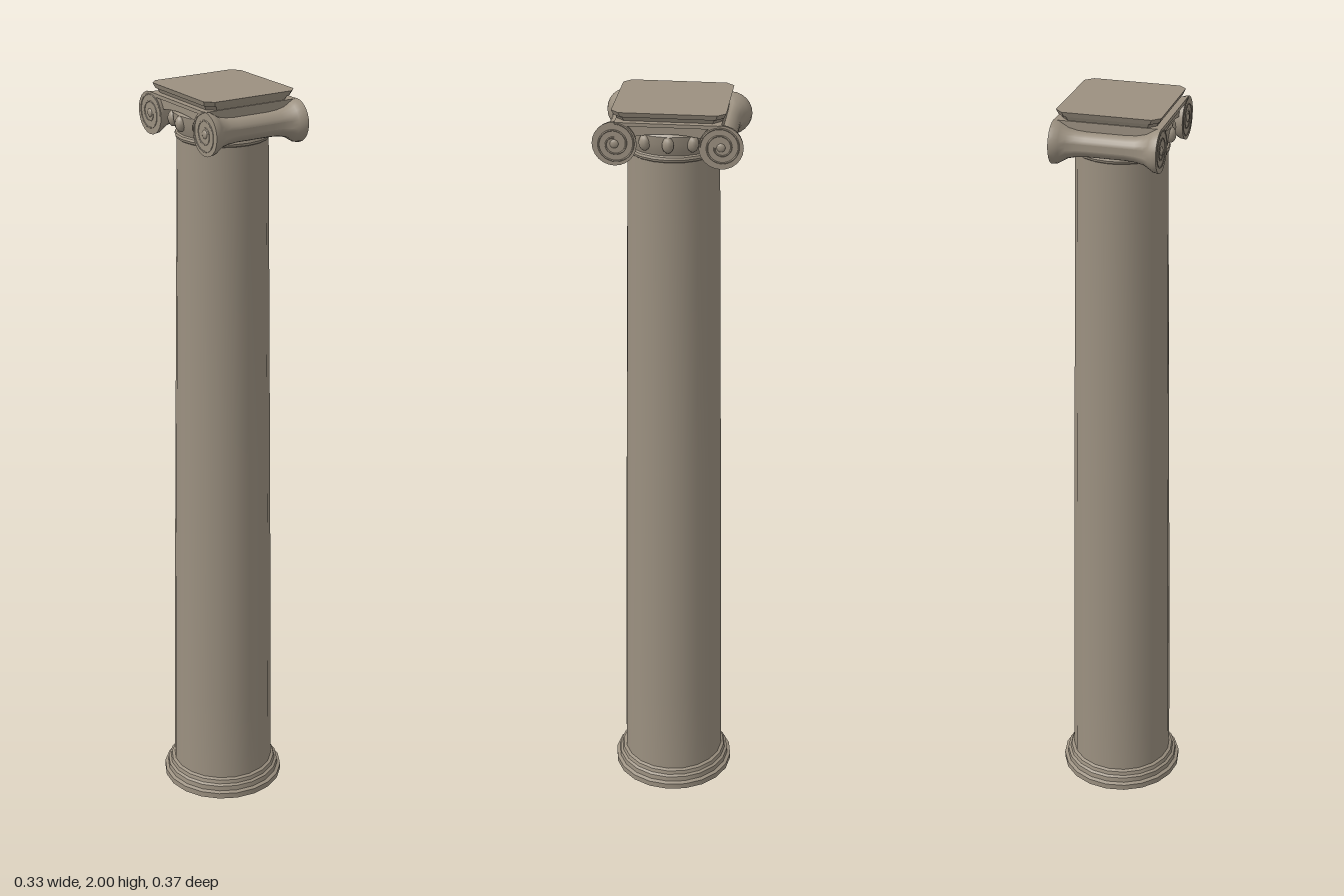
import * as THREE from 'three';
import { toCreasedNormals } from 'three/addons/utils/BufferGeometryUtils.js';

export function createModel() {
  const group = new THREE.Group();
  const stone = new THREE.MeshStandardMaterial({ color: 0x9b9080, side: THREE.DoubleSide });
  stone.name = 'warm grey stone';

  const add = (name, geometry) => {
    const mesh = new THREE.Mesh(geometry, stone);
    mesh.name = name;
    group.add(mesh);
    return mesh;
  };
  const lathe = (profile, sides = 20) => toCreasedNormals(
    new THREE.LatheGeometry(profile.map(([r, y]) => new THREE.Vector2(r, y)), sides), 0.6);

  // Square slab with cut corners; its lower edge is drawn in by the taper factor
  const slab = (w, d, y0, y1, cut, taper) => {
    const s = new THREE.Shape();
    s.moveTo(-w + cut, -d).lineTo(w - cut, -d).lineTo(w, -d + cut).lineTo(w, d - cut);
    s.lineTo(w - cut, d).lineTo(-w + cut, d).lineTo(-w, d - cut).lineTo(-w, -d + cut);
    s.closePath();
    const g = new THREE.ExtrudeGeometry(s, { depth: y1 - y0, bevelEnabled: false });
    g.rotateX(-Math.PI / 2).translate(0, y0, 0);
    const p = g.attributes.position;
    for (let i = 0; i < p.count; i++) {
      if (p.getY(i) < y0 + 1e-5) p.setXYZ(i, p.getX(i) * taper, p.getY(i), p.getZ(i) * taper);
    }
    g.computeVertexNormals();
    return g;
  };

  // Hollow base mouldings, open underneath
  add('base', lathe([
    [0.167, 0], [0.167, 0.016], [0.158, 0.02], [0.157, 0.034],
    [0.15, 0.038], [0.147, 0.048], [0.138, 0.052],
  ]));

  // Tapered hollow shaft
  add('shaft', lathe([[0.139, 0.045], [0.137, 0.3], [0.128, 1], [0.116, 1.88]]));

  // Neck ring and swelling cushion under the scrolls
  add('neckRing', lathe([
    [0.114, 1.87], [0.12, 1.874], [0.122, 1.88], [0.12, 1.886], [0.114, 1.89],
  ]));
  add('cushion', lathe([
    [0.114, 1.885], [0.12, 1.9], [0.126, 1.92], [0.128, 1.94], [0.115, 1.955],
  ]));

  // Carved eggs around the cushion on the two scroll faces
  for (const side of [-1, 1]) {
    for (const a of [-0.5, 0, 0.5]) {
      const egg = add('carvedEgg', new THREE.SphereGeometry(1, 10, 8));
      egg.scale.set(0.016, 0.021, 0.015);
      egg.position.set(side * Math.cos(a) * 0.123, 1.92, Math.sin(a) * 0.123);
    }
  }

  // Block joining the scrolls, arched along its lower edge
  const arch = new THREE.Shape();
  arch.moveTo(-0.13, 1.976).lineTo(-0.13, 1.925).lineTo(-0.1, 1.935);
  arch.quadraticCurveTo(0, 1.96, 0.1, 1.935);
  arch.lineTo(0.13, 1.925).lineTo(0.13, 1.976).closePath();
  const block = new THREE.ExtrudeGeometry(arch, { depth: 0.25, bevelEnabled: false, curveSegments: 8 });
  block.translate(0, 0, -0.125).rotateY(Math.PI / 2);
  add('scrollBlock', block);

  // Raised lip along the top of each scroll face
  for (const side of [-1, 1]) {
    const lip = add('scrollLip', new THREE.BoxGeometry(0.012, 0.009, 0.26));
    lip.position.set(side * 0.129, 1.9715, 0);
  }

  // Waisted bolsters ending in flared discs, with a spiral and an eye on each face
  const half = [[0.031, 0], [0.031, 0.05], [0.033, 0.075], [0.038, 0.097],
    [0.047, 0.112], [0.053, 0.122], [0.055, 0.135], [0, 0.135]];
  const bolster = [...half.slice(1).reverse().map(([r, x]) => [r, -x]), ...half];
  const spiral = [];
  for (let i = 0; i <= 40; i++) {
    const a = Math.PI / 2 + (i / 40) * Math.PI * 4;
    const r = 0.052 - 0.036 * (i / 40);
    spiral.push(new THREE.Vector3(0, Math.sin(a) * r, Math.cos(a) * r));
  }
  const spiralPath = new THREE.CatmullRomCurve3(spiral);
  for (const end of [-1, 1]) {
    const roll = add('bolster', lathe(bolster, 24).rotateZ(-Math.PI / 2));
    roll.position.set(0, 1.922, end * 0.13);
    for (const side of [-1, 1]) {
      const line = add('scrollSpiral', new THREE.TubeGeometry(spiralPath, 64, 0.0022, 5));
      line.position.set(side * 0.1345, 1.922, end * 0.13);
      if (end < 0) line.rotation.x = Math.PI / 2;
      const eye = add('scrollEye', new THREE.SphereGeometry(1, 12, 8));
      eye.scale.set(0.005, 0.011, 0.011);
      eye.position.set(side * 0.1345, 1.922, end * 0.13);
    }
  }

  // Square top plate with a tapered underside
  add('topPlateUnderside', slab(0.124, 0.133, 1.97, 1.988, 0.02, 0.93));
  add('topPlate', slab(0.132, 0.14, 1.987, 2, 0.02, 0.96));

  return group;
}
